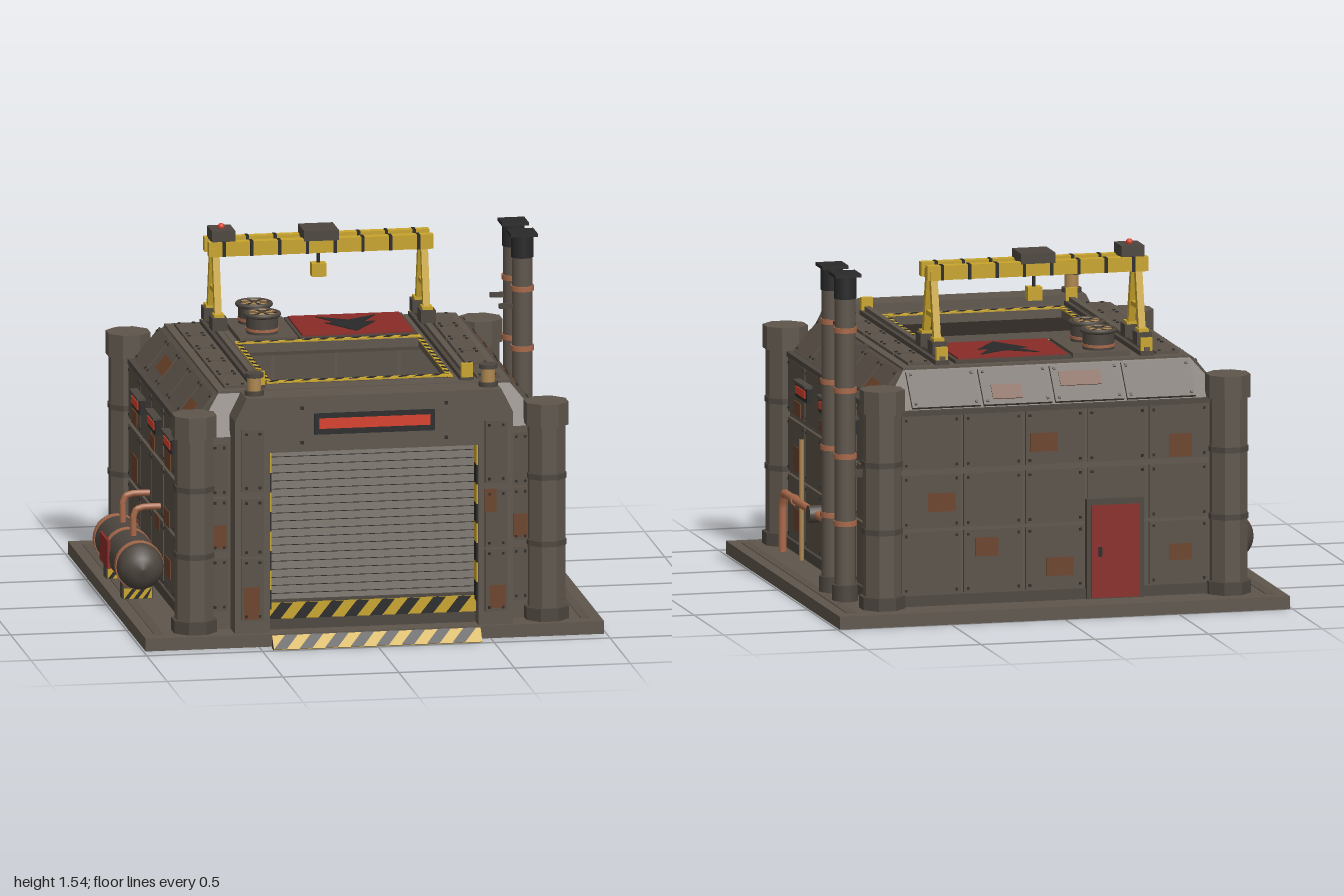
import * as THREE from 'three';
import { mergeGeometries } from 'three/addons/utils/BufferGeometryUtils.js';

const mat = (name, color, side = THREE.FrontSide) => new THREE.MeshStandardMaterial({ name, color, side, flatShading: false });
const M = {
  hull: mat('hull grey', 0x5f564c, THREE.DoubleSide), panel: mat('panel grey', 0x5a5147), trim: mat('trim grey', 0x4d463f),
  dark: mat('near black', 0x2a2929, THREE.DoubleSide), yellow: mat('warning yellow', 0xc9a52c), rust: mat('rust', 0x6b4229),
  copper: mat('copper', 0xa9694a), brass: mat('brass', 0xae8850), red: mat('paint red', 0x8a2c27), glow: mat('signal red', 0xd8402c),
};
const Z0 = -0.02, HX = 0.76, HZ = 0.80, TX = 0.63, TZ = 0.665, YS = 0.89, YT = 1.05;

function add(p, name, geo, m, x = 0, y = 0, z = 0, rx = 0, ry = 0, rz = 0) {
  const o = new THREE.Mesh(geo, m);
  o.name = name; o.position.set(x, y, z); o.rotation.set(rx, ry, rz); p.add(o);
  return o;
}
const box = (p, name, m, w, h, d, ...t) => add(p, name, new THREE.BoxGeometry(w, h, d), m, ...t);
const cyl = (p, name, m, r, h, n, ...t) => add(p, name, new THREE.CylinderGeometry(r, r, h, n), m, ...t);
function group(p, name, x = 0, y = 0, z = 0, rx = 0, ry = 0) {
  const g = new THREE.Group();
  g.name = name; g.position.set(x, y, z); g.rotation.set(rx, ry, 0); p.add(g);
  return g;
}
function strut(p, name, m, a, b, t) {
  const A = new THREE.Vector3(...a), d = new THREE.Vector3(...b).sub(A), o = box(p, name, m, t, d.length(), t);
  o.position.copy(A).addScaledVector(d, 0.5);
  o.quaternion.setFromUnitVectors(new THREE.Vector3(0, 1, 0), d.normalize());
}
// Bolted plate lying in the local xy plane
function plate(p, x, y, z, w, h) {
  box(p, 'panel', M.panel, w, h, 0.016, x, y, z);
  const bolts = [];
  for (const i of [-1, 1]) for (const j of [-1, 1])
    bolts.push(new THREE.BoxGeometry(0.011, 0.011, 0.006).translate(i * (w / 2 - 0.018), j * (h / 2 - 0.018), 0));
  add(p, 'bolts', mergeGeometries(bolts), M.dark, x, y, z + 0.01);
}
const rustPatch = (p, x, y, z, w, h) => box(p, 'rustPatch', M.rust, w, h, 0.004, x, y, z);
// Yellow strip with slanted dark stripes, facing local +z
function hazard(p, w, h, x, y, z, rx = 0, ry = 0, rz = 0, s = 0.055) {
  const g = group(p, 'hazardStrip', x, y, z, rx, ry);
  g.rotation.z = rz;
  box(g, 'yellowStrip', M.yellow, w, h, 0.006);
  for (let u = -w / 2; u + s + h < w / 2 + 0.03; u += 2 * s) {
    const e = w / 2, q = (v) => Math.min(v, e);
    const sh = new THREE.Shape([[u, -h / 2], [u + s, -h / 2], [q(u + s + h * 0.8), h / 2], [q(u + h * 0.8), h / 2]].map((a) => new THREE.Vector2(...a)));
    add(g, 'darkStripe', new THREE.ShapeGeometry(sh), M.dark, 0, 0, 0.0045);
  }
}
function extrude(pts, depth, hole) {
  const v = (l) => l.map((a) => new THREE.Vector2(...a)), sh = new THREE.Shape(v(pts));
  if (hole) sh.holes.push(new THREE.Path(v(hole)));
  return new THREE.ExtrudeGeometry(sh, { depth, bevelEnabled: false });
}
const tube = (p, name, m, pts, r) => {
  const c = new THREE.CatmullRomCurve3(pts.map((a) => new THREE.Vector3(...a)), false, 'catmullrom', 0.1);
  add(p, name, new THREE.TubeGeometry(c, 40, r, 10), m);
};

// Tapered hollow shell from rectangular rings
function hullShell() {
  const rings = [[HX, 0.05, HZ], [HX, YS, HZ], [TX, YT, TZ]], pos = [];
  const at = (r, i) => [[1, 1], [1, -1], [-1, -1], [-1, 1]].map(([a, b]) => [a * r[0], r[1], Z0 + b * r[2]])[i % 4];
  for (let k = 0; k < 2; k++) for (let i = 0; i < 4; i++) {
    const a = at(rings[k], i), b = at(rings[k], i + 1), c = at(rings[k + 1], i + 1), d = at(rings[k + 1], i);
    pos.push(...a, ...b, ...c, ...a, ...c, ...d);
  }
  const g = new THREE.BufferGeometry();
  g.setAttribute('position', new THREE.Float32BufferAttribute(pos, 3));
  g.computeVertexNormals();
  return g;
}
// Panelled wall with sloping top panels; u runs to the viewer's right from outside
function wall(root, name, ry, off, span, topSpan, inset, nTop, rust, topRust) {
  const g = group(root, name, 0, 0, Z0, 0, ry), cw = span / 5;
  for (const [y, h] of [[0.24, 0.27], [0.505, 0.23], [0.76, 0.23]])
    for (let i = 0; i < 5; i++) plate(g, -span / 2 + cw * (i + 0.5), y, off + 0.006, cw - 0.014, h);
  box(g, 'skirt', M.trim, span + 0.06, 0.05, 0.04, 0, 0.075, off);
  box(g, 'ledge', M.trim, span + 0.06, 0.022, 0.03, 0, 0.887, off);
  for (const r of rust) rustPatch(g, r[0], r[1], off + 0.016, r[2], r[3]);
  const s = group(g, 'slope', 0, (YS + YT) / 2, off - inset / 2, -Math.atan2(inset, YT - YS));
  const L = Math.hypot(inset, YT - YS), w = topSpan / nTop;
  for (let i = 0; i < nTop; i++) plate(s, -topSpan / 2 + w * (i + 0.5), 0, 0.006, w - 0.014, L - 0.03);
  for (const [u, v, pw] of topRust) rustPatch(s, u, v, 0.016, pw, 0.07);
  return g;
}

export function createModel() {
  const root = new THREE.Group();
  root.name = 'hangar';

  // Base slab and entry ramp
  box(root, 'baseSlab', M.hull, 1.98, 0.055, 1.915, 0, 0.0275, -0.0425);
  for (const s of [-1, 1]) box(root, 'baseStrip', M.panel, 0.04, 0.004, 1.76, s * 0.92, 0.056, -0.04);
  box(root, 'sill', M.trim, 0.88, 0.02, 0.05, 0, 0.035, 0.93);
  add(root, 'ramp', extrude([[-0.994, 0], [-0.945, 0], [-0.945, 0.055]], 0.9), M.trim, -0.45, 0, 0, 0, Math.PI / 2);
  hazard(root, 0.9, 0.07, 0, 0.0285, 0.97, -Math.atan2(0.05, 0.055));

  // Hull, roof with hatch, floor markings
  add(root, 'hullShell', hullShell(), M.hull);
  const hole = [[-0.39, -0.55], [-0.39, 0.24], [0.39, 0.24], [0.39, -0.55]];
  const rim = (x, a, b) => [[-x, -b], [x, -b], [x, -a], [-x, -a]];
  add(root, 'roof', extrude(rim(TX, Z0 - TZ, Z0 + TZ), 0.04, hole), M.hull, 0, YT - 0.03, 0, -Math.PI / 2);
  const floor = group(root, 'landingFloor', 0, 0.058, 0);
  add(floor, 'padRing', new THREE.RingGeometry(0.372, 0.4, 48), M.brass, 0, 0.004, 0.04, -Math.PI / 2);
  add(floor, 'pad', new THREE.CircleGeometry(0.372, 48), M.panel, 0, 0.002, 0.04, -Math.PI / 2);
  for (const s of [-1, 1]) {
    box(floor, 'guideLine', M.yellow, 0.016, 0.006, 0.58, s * 0.16, 0.004, 0.04);
    box(floor, 'guideLine', M.yellow, 0.022, 0.006, 0.22, s * 0.3, 0.004, 0.42);
    hazard(root, 0.79, 0.022, s * 0.39, 1.064, 0.155, -Math.PI / 2, 0, Math.PI / 2, 0.035);
  }
  for (const [z, h] of [[-0.235, 0.035], [0.535, 0.035]]) hazard(root, 0.8, h, 0, 1.067, z, -Math.PI / 2, 0, 0, 0.035);

  // Walls
  const sideRust = [[-0.55, 0.46, 0.13, 0.11], [-0.54, 0.2, 0.14, 0.1], [-0.55, 0.68, 0.11, 0.06], [-0.12, 0.67, 0.1, 0.06], [0, 0.35, 0.1, 0.06],
    [0.26, 0.68, 0.13, 0.08], [0.26, 0.21, 0.13, 0.08], [0.23, 0.42, 0.14, 0.07], [0.6, 0.67, 0.1, 0.06]];
  for (const s of [-1, 1]) {
    const g = wall(root, s > 0 ? 'leftWall' : 'rightWall', s * Math.PI / 2, HX, 1.44, 1.34, HX - TX, 5, sideRust, [[-0.22, 0, 0.17], [0.5, -0.03, 0.14]]);
    for (const u of [-0.4, -0.01, 0.38]) {
      box(g, 'windowFrame', M.dark, 0.2, 0.065, 0.035, u, 0.78, HX + 0.022);
      box(g, 'windowHood', M.trim, 0.2, 0.012, 0.05, u, 0.815, HX + 0.025);
      box(g, 'windowLight', M.glow, 0.16, 0.032, 0.006, u, 0.78, HX + 0.041);
    }
  }
  const back = wall(root, 'backWall', Math.PI, HZ, 1.36, 1.26, HZ - TZ, 4,
    [[-0.5, 0.5, 0.12, 0.08], [-0.05, 0.74, 0.12, 0.08], [0.55, 0.7, 0.1, 0.1], [0.02, 0.2, 0.12, 0.08], [0.55, 0.24, 0.1, 0.07], [-0.3, 0.3, 0.1, 0.08]],
    [[0.13, 0.02, 0.18], [-0.2, -0.03, 0.13]]);
  box(back, 'doorFrame', M.trim, 0.25, 0.43, 0.04, 0.26, 0.27, HZ + 0.012);
  box(back, 'door', M.red, 0.21, 0.4, 0.012, 0.26, 0.26, HZ + 0.035);
  box(back, 'doorHandle', M.dark, 0.015, 0.04, 0.015, 0.19, 0.26, HZ + 0.046);

  // Corner pillars
  for (const x of [-0.76, 0.76]) for (const z of [-0.83, 0.795]) {
    const p = group(root, 'cornerPillar', x, 0, z), k = 1 / Math.cos(Math.PI / 8);
    const oct = (m, a, y0, y1) => {
      const geo = new THREE.CylinderGeometry(a * k, a * k, y1 - y0, 8).rotateY(Math.PI / 8).toNonIndexed();
      geo.computeVertexNormals();
      add(p, 'pillarSection', geo, m, 0, (y0 + y1) / 2, 0);
    };
    oct(M.hull, 0.078, 0.05, 0.98);
    oct(M.trim, 0.092, 0.05, 0.11);
    for (const y of [0.39, 0.68]) oct(M.trim, 0.083, y - 0.012, y + 0.012);
    oct(M.hull, 0.09, 0.9, 1.0);
  }

  // Front portal with shutter
  const portal = group(root, 'frontPortal');
  add(portal, 'portalFrame', extrude([[-0.6, 0.05], [-0.45, 0.05], [-0.45, 0.84], [0.45, 0.84], [0.45, 0.05], [0.6, 0.05],
    [0.6, 0.98], [0.55, 1.08], [-0.55, 1.08], [-0.6, 0.98]], 0.145), M.hull, 0, 0, 0.75);
  box(portal, 'shutterBack', M.dark, 0.9, 0.8, 0.02, 0, 0.45, 0.79);
  for (let i = 0; i < 19; i++) box(portal, 'shutterSlat', M.panel, 0.9, 0.031, 0.018, 0, 0.19 + i * 0.035, 0.812, -0.25);
  box(portal, 'shutterFoot', M.trim, 0.9, 0.13, 0.03, 0, 0.12, 0.815);
  hazard(portal, 0.9, 0.07, 0, 0.137, 0.833);
  box(portal, 'signFrame', M.dark, 0.52, 0.09, 0.03, 0, 0.96, 0.895);
  box(portal, 'signLight', M.glow, 0.48, 0.045, 0.008, 0, 0.963, 0.91);
  for (const s of [-1, 1]) {
    for (const [y, h] of [[0.25, 0.27], [0.52, 0.25], [0.81, 0.27]]) plate(portal, s * 0.525, y, 0.9, 0.095, h);
    for (const y of [0.25, 0.51, 0.75]) plate(portal, s * 0.65, y, 0.786, 0.075, 0.23);
    for (let i = 0; i < 8; i++) box(portal, 'jambStripe', i % 2 ? M.yellow : M.dark, 0.008, 0.085, 0.06, s * 0.447, 0.2 + i * 0.085, 0.862);
    rustPatch(portal, s * 0.65, 0.46, 0.796, 0.06, 0.1);
    for (const [x, y] of [[0.31, 0.88], [0.31, 1.03]]) box(portal, 'bolt', M.dark, 0.014, 0.014, 0.006, s * x, y, 0.897);
    // Beacons
    const b = group(portal, 'beacon', s * 0.505, 1.08, 0.82);
    cyl(b, 'beaconBase', M.trim, 0.042, 0.02, 16, 0, 0.01, 0);
    cyl(b, 'beaconLamp', M.brass, 0.03, 0.07, 16, 0, 0.05, 0);
    cyl(b, 'beaconCap', M.trim, 0.04, 0.018, 16, 0, 0.087, 0);
  }
  for (const [x, y, w, h] of [[-0.53, 0.19, 0.07, 0.14], [0.5, 0.6, 0.05, 0.1], [0.53, 0.18, 0.07, 0.1]]) rustPatch(portal, x, y, 0.91, w, h);

  // Roof plates, crane rails and end stops
  for (const s of [-1, 1]) {
    const deck = group(root, 'roofPlates', s * 0.545, 1.06, Z0, -Math.PI / 2);
    for (let i = 0; i < 5; i++) plate(deck, 0, -0.5 + i * 0.25, 0.004, 0.1, 0.235);
    box(root, 'craneRail', M.trim, 0.06, 0.02, 1.28, s * 0.45, 1.07, Z0);
    box(root, 'craneRailHead', M.hull, 0.025, 0.018, 1.28, s * 0.45, 1.088, Z0);
    for (const z of [-0.645, 0.615]) box(root, 'endStop', M.yellow, 0.05, 0.06, 0.022, s * 0.45, 1.105, z);
  }

  // Roof fans
  box(root, 'fanDeck', M.panel, 0.25, 0.025, 0.4, -0.255, 1.07, -0.44);
  for (const z of [-0.55, -0.35]) {
    const f = group(root, 'roofFan', -0.265, 1.08, z);
    cyl(f, 'fanHousing', M.trim, 0.068, 0.085, 24, 0, 0.042, 0);
    cyl(f, 'fanBand', M.copper, 0.071, 0.012, 24, 0, 0.02, 0);
    add(f, 'fanRim', new THREE.TorusGeometry(0.07, 0.011, 8, 28), M.trim, 0, 0.083, 0, Math.PI / 2);
    cyl(f, 'fanWell', M.dark, 0.062, 0.004, 24, 0, 0.086, 0);
    for (let i = 0; i < 6; i++)
      add(f, 'fanBlade', new THREE.CircleGeometry(0.06, 6, i * Math.PI / 3, 0.62), M.brass, 0, 0.09, 0, -Math.PI / 2);
    cyl(f, 'fanHub', M.trim, 0.015, 0.012, 12, 0, 0.09, 0);
  }

  // Red roof cover with plain dark direction marker
  box(root, 'coverFrame', M.trim, 0.51, 0.02, 0.4, 0.135, 1.066, -0.45);
  box(root, 'redCover', M.red, 0.48, 0.02, 0.37, 0.135, 1.074, -0.45);
  add(root, 'directionMarker', extrude([[-0.13, 0.14], [0, 0.06], [0.13, 0.14], [0.06, 0.02], [0.11, 0.02], [0, -0.15], [-0.11, 0.02], [-0.06, 0.02]], 0.004), M.dark, 0.135, 1.083, -0.45, -Math.PI / 2);

  // Gantry crane
  const crane = group(root, 'gantryCrane', 0, 0, -0.475);
  for (const z of [-0.053, 0.053]) {
    box(crane, 'beam', M.yellow, 0.97, 0.062, 0.038, 0, 1.437, z);
    for (let i = 0; i < 8; i++) box(crane, 'beamBand', M.dark, 0.014, 0.065, 0.042, -0.42 + i * 0.12, 1.437, z);
  }
  for (const s of [-1, 1]) {
    box(crane, 'endBeam', M.yellow, 0.045, 0.04, 0.15, s * 0.45, 1.425, 0);
    box(crane, 'legTie', M.yellow, 0.02, 0.02, 0.15, s * 0.45, 1.25, 0);
    for (const k of [-1, 1]) {
      strut(crane, 'leg', M.yellow, [s * 0.45, 1.13, k * 0.095], [s * 0.45, 1.42, k * 0.03], 0.03);
      box(crane, 'wheelBox', M.trim, 0.065, 0.055, 0.08, s * 0.45, 1.125, k * 0.1);
      box(crane, 'wheelCover', M.yellow, 0.045, 0.02, 0.06, s * 0.45, 1.155, k * 0.1);
    }
  }
  box(crane, 'trolley', M.trim, 0.15, 0.045, 0.15, 0, 1.482, 0);
  cyl(crane, 'cable', M.dark, 0.008, 0.12, 8, 0, 1.4, 0);
  box(crane, 'hookBlock', M.yellow, 0.062, 0.058, 0.05, 0, 1.32, 0);
  box(crane, 'motorBox', M.trim, 0.1, 0.05, 0.125, -0.42, 1.49, 0);
  add(crane, 'warningLamp', new THREE.SphereGeometry(0.015, 12, 8), M.glow, -0.42, 1.522, 0);

  // Exhaust stacks
  for (const z of [-0.39, -0.61]) {
    const e = group(root, 'exhaustStack', 0.865, 0, z);
    cyl(e, 'stackPipe', M.hull, 0.044, 1.31, 20, 0, 0.71, 0);
    cyl(e, 'stackFoot', M.trim, 0.056, 0.07, 20, 0, 0.09, 0);
    for (const y of [0.39, 0.68, 0.965, 1.225]) cyl(e, 'stackBand', M.copper, 0.05, 0.022, 20, 0, y, 0);
    cyl(e, 'stackTip', M.dark, 0.048, 0.1, 20, 0, 1.41, 0);
    box(e, 'stackCap', M.dark, 0.115, 0.014, 0.115, 0, 1.463, 0);
    box(e, 'wallBracket', M.trim, 0.1, 0.02, 0.02, -0.05, 1.147, 0);
    box(e, 'wallBracket', M.trim, 0.1, 0.03, 0.03, -0.05, 0.6, 0);
  }
  box(root, 'stackLink', M.trim, 0.015, 0.015, 0.2, 0.865, 1.225, -0.5);

  // Side pipes
  tube(root, 'copperPipe', M.copper, [[0.82, 0.05, 0.61], [0.82, 0.26, 0.61], [0.82, 0.3, 0.595], [0.82, 0.312, 0.56], [0.82, 0.312, -0.24]], 0.018);
  for (const z of [0.4, -0.24]) cyl(root, 'pipeCollar', M.copper, 0.023, 0.025, 12, 0.82, 0.312, z, Math.PI / 2);
  cyl(root, 'valve', M.trim, 0.038, 0.06, 16, 0.825, 0.312, 0.05, 0, 0, Math.PI / 2);
  cyl(root, 'thinPipe', M.brass, 0.01, 0.52, 10, 0.805, 0.32, 0.35);

  // Storage tank
  const tank = group(root, 'storageTank', -0.89, 0.21, -0.085);
  const prof = [[0.001, -0.375], [0.05, -0.365], [0.085, -0.34], [0.1, -0.3], [0.1, 0.3], [0.085, 0.34], [0.05, 0.365], [0.001, 0.375]];
  add(tank, 'tankBody', new THREE.LatheGeometry(prof.map((a) => new THREE.Vector2(...a)), 28), M.trim, 0, 0, 0, Math.PI / 2);
  for (const z of [-0.265, 0, 0.265]) cyl(tank, 'tankBand', M.copper, 0.104, 0.035, 28, 0, 0, z, Math.PI / 2);
  for (const z of [-0.2, 0.2]) {
    box(tank, 'cradle', M.trim, 0.13, 0.07, 0.07, 0, -0.12, z);
    for (const k of [-1, 1]) hazard(tank, 0.12, 0.045, 0, -0.13, z + k * 0.037, 0, k > 0 ? 0 : Math.PI, 0, 0.02);
  }
  box(tank, 'tankPlate', M.red, 0.012, 0.12, 0.2, -0.1, 0.01, 0);
  for (const z of [-0.135, 0.13])
    tube(tank, 'feedPipe', M.copper, [[0, 0.08, z], [0, 0.18, z], [0.012, 0.212, z], [0.045, 0.222, z], [0.13, 0.222, z]], 0.014);
  return root;
}
